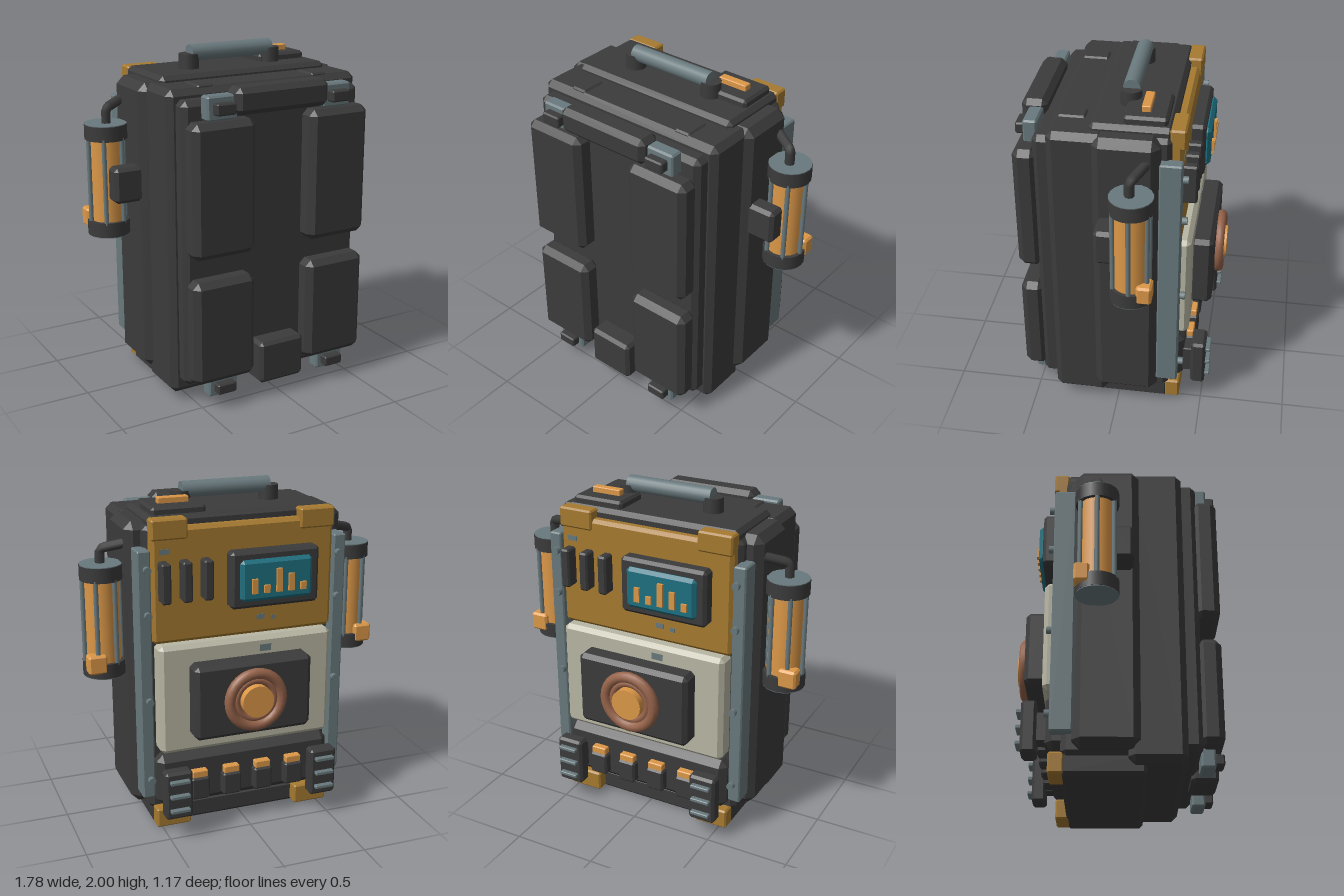
import * as THREE from 'three';
import { ConvexGeometry } from 'three/addons/geometries/ConvexGeometry.js';

const mat = (name, color) => {
  const m = new THREE.MeshStandardMaterial({ color });
  m.name = name;
  return m;
};

export function createModel() {
  const dark = mat('charcoal', 0x3b3b3c);
  const steel = mat('steel', 0x69797d);
  const mustard = mat('mustard', 0xa67a30);
  const amber = mat('amber', 0xdc9848);
  const teal = mat('teal', 0x1f7080);
  const bone = mat('bone', 0xb9b7a4);
  const copper = mat('copper', 0x96634a);

  const root = new THREE.Group();
  root.name = 'equipmentPack';
  const pack = new THREE.Group();
  pack.name = 'pack';
  pack.position.x = -0.008;
  root.add(pack);

  const add = (name, geo, material, parent = pack) => {
    const m = new THREE.Mesh(geo, material);
    m.name = name;
    parent.add(m);
    return m;
  };

  // Box given by its limits, with every edge chamfered by c
  const block = (name, material, [x0, x1], [y0, y1], [z0, z1], c = 0.012, parent = pack) => {
    const h = [(x1 - x0) / 2, (y1 - y0) / 2, (z1 - z0) / 2];
    const pts = [];
    for (const sx of [-1, 1]) for (const sy of [-1, 1]) for (const sz of [-1, 1])
      for (let k = 0; k < 3; k++) {
        const p = h.map((v, i) => (i === k ? v : v - c));
        pts.push(new THREE.Vector3(p[0] * sx, p[1] * sy, p[2] * sz));
      }
    const geo = c > 0 ? new ConvexGeometry(pts) : new THREE.BoxGeometry(2 * h[0], 2 * h[1], 2 * h[2]);
    const m = add(name, geo, material, parent);
    m.position.set((x0 + x1) / 2, (y0 + y1) / 2, (z0 + z1) / 2);
    return m;
  };
  const both = (fn) => [-1, 1].forEach(fn);
  const span = (s, a, b) => (s > 0 ? [a, b] : [-b, -a]);
  const around = (c, w) => [c - w / 2, c + w / 2];

  // Body shells
  block('core', dark, [-0.57, 0.57], [0.1, 1.82], [-0.3, 0.2], 0.03);
  block('sideShell', dark, [-0.655, 0.655], [0.125, 1.83], [-0.24, 0.13], 0.045);
  block('frontShell', dark, [-0.615, 0.615], [0.055, 1.83], [0.06, 0.375], 0.035);
  block('frontPlate', dark, [-0.57, 0.57], [0.13, 1.78], [0.34, 0.46], 0.03);
  block('topCap', dark, [-0.545, 0.545], [1.76, 1.865], [-0.3, 0.155], 0.025);
  block('base', dark, [-0.545, 0.545], [0, 0.13], [-0.3, 0.16], 0.02);

  // Padding, clips and strap ends on the front
  both((s) => {
    block('upperPad', dark, span(s, 0.175, 0.565), [0.915, 1.675], [0.44, 0.578], 0.035);
    block('lowerPad', dark, span(s, 0.175, 0.565), [0.17, 0.785], [0.44, 0.575], 0.035);
    block('strapEnd', dark, span(s, 0.32, 0.42), [1.79, 1.84], [0.19, 0.345], 0.01);
    for (const [y, h, bh] of [[1.743, 0.135, 0.065], [0.125, 0.11, 0.062]]) {
      block('clip', steel, span(s, 0.275, 0.46), around(y, h), [0.45, 0.53], 0.01);
      block('clipButton', dark, span(s, 0.308, 0.428), around(y, bh), [0.5, 0.58], 0.008);
    }
  });
  block('topPad', dark, [-0.3, 0.293], [1.695, 1.845], [0.43, 0.575], 0.03);
  block('bottomPad', dark, [-0.145, 0.148], [0.09, 0.345], [0.42, 0.575], 0.02);

  // Carry handle
  const bar = add('handleBar', new THREE.CylinderGeometry(0.048, 0.048, 0.535, 16), steel);
  bar.rotation.z = Math.PI / 2;
  bar.position.set(0, 1.952, -0.037);
  both((s) => add('handlePost', new THREE.CylinderGeometry(0.058, 0.06, 0.1, 16), dark)
    .position.set(s * 0.27, 1.9, -0.037));

  // Top switch box
  block('switchBox', dark, [0.195, 0.51], [1.85, 1.907], [-0.265, -0.025], 0.015);
  block('switchStrip', amber, [0.263, 0.443], [1.9, 1.94], [-0.167, -0.117], 0.004);

  // Side canisters
  const cz = -0.11;
  both((s) => {
    const can = new THREE.Group();
    can.name = s > 0 ? 'leftCanister' : 'rightCanister';
    pack.add(can);
    const cx = s * 0.768;
    add('tank', new THREE.CylinderGeometry(0.1, 0.1, 0.5, 20), amber, can).position.set(cx, 1.26, cz);
    for (const y of [1.54, 0.98])
      add('tankCap', new THREE.CylinderGeometry(0.122, 0.122, 0.085, 20), dark, can).position.set(cx, y, cz);
    // Steel discs on the cap ends
    for (const y of [1.583, 0.937])
      add('capDisc', new THREE.CylinderGeometry(0.12, 0.12, 0.008, 20), steel, can).position.set(cx, y, cz);
    for (let i = 0; i < 6; i++) {
      const a = (i * Math.PI) / 3;
      add('tankRod', new THREE.CylinderGeometry(0.014, 0.014, 0.5, 8), steel, can)
        .position.set(cx + Math.cos(a) * 0.108, 1.26, cz + Math.sin(a) * 0.108);
    }
    block('tankMount', dark, span(s, 0.62, 0.805), [1.155, 1.36], [-0.02, 0.092], 0.02, can);
    block('tankValve', amber, span(s, 0.775, 0.885), [0.97, 1.08], [-0.235, -0.15], 0.012, can);
    const path = new THREE.CurvePath();
    const p = [[0.768, 1.57, -0.1], [0.768, 1.66, -0.1], [0.745, 1.675, -0.115], [0.6, 1.715, -0.19]]
      .map(([x, y, z]) => new THREE.Vector3(s * x, y, z));
    for (let i = 0; i < 3; i++) path.add(new THREE.LineCurve3(p[i], p[i + 1]));
    add('tankPipe', new THREE.TubeGeometry(path, 14, 0.028, 8), dark, can);
  });

  // Back rails with screws, and corner guards
  both((s) => {
    block('backRail', steel, span(s, 0.55, 0.625), [0.215, 1.695], [-0.36, -0.235], 0.008);
    for (const y of [1.59, 1.33, 0.82, 0.33]) {
      const screw = add('railScrew', new THREE.CylinderGeometry(0.022, 0.022, 0.035, 8), steel);
      screw.rotation.x = Math.PI / 2;
      screw.position.set(s * 0.575, y, -0.372);
    }
    for (const y of [[1.745, 1.862], [0.01, 0.13]])
      block('cornerGuard', mustard, span(s, 0.335, 0.545), y, [-0.368, -0.28], 0.01);
  });

  // Upper back panel with display and vents
  block('upperPanel', mustard, [-0.545, 0.545], [1.15, 1.81], [-0.355, -0.25], 0.02);
  block('displayFrame', dark, [-0.425, 0.108], [1.33, 1.66], [-0.435, -0.34], 0.018);
  block('displayScreen', teal, [-0.375, 0.06], [1.375, 1.615], [-0.463, -0.42], 0.02);
  [0.045, 0.1, 0.135, 0.045, 0.085].forEach((h, i) =>
    block('displayBar', amber, around(-0.312 + i * 0.0735, 0.034), [1.425, 1.425 + h], [-0.478, -0.455], 0));
  for (let i = 0; i < 3; i++)
    block('vent', dark, around(0.235 + i * 0.123, 0.055), [1.4, 1.63], [-0.432, -0.34], 0.01);

  // Middle panel with round speaker
  block('middlePanel', bone, [-0.525, 0.525], [0.495, 1.15], [-0.41, -0.28], 0.025);
  block('speakerBox', dark, [-0.355, 0.353], [0.6, 1.045], [-0.525, -0.39], 0.025);
  for (const [r, t, z] of [[0.158, 0.032, -0.543], [0.115, 0.022, -0.535]])
    add('speakerRing', new THREE.TorusGeometry(r, t, 10, 28), copper).position.set(0, 0.822, z);
  const cone = add('speakerCentre', new THREE.CylinderGeometry(0.094, 0.094, 0.08, 20), amber);
  cone.rotation.x = Math.PI / 2;
  cone.position.set(0, 0.822, -0.546);

  // Worn paint chips
  for (const [x, y, w, h, z] of [[0.47, 1.68, 0.06, 0.03, -0.355], [-0.1, 1.25, 0.05, 0.03, -0.355],
    [-0.18, 1.24, 0.03, 0.025, -0.355], [-0.11, 1.08, 0.07, 0.04, -0.41]])
    block('paintChip', steel, around(x, w), around(y, h), [z - 0.003, z + 0.003], 0);

  // Lower back belt with latches and ribbed grips
  block('lowerBelt', dark, [-0.54, 0.54], [0.15, 0.47], [-0.388, -0.235], 0.04);
  for (let i = 0; i < 4; i++) {
    const x = -0.295 + i * 0.197;
    block('latch', dark, around(x, 0.115), [0.19, 0.33], [-0.44, -0.37], 0.012);
    block('latchTab', amber, around(x, 0.095), [0.325, 0.37], [-0.43, -0.37], 0.005);
  }
  both((s) => {
    block('gripMount', dark, span(s, 0.4, 0.505), [0.2, 0.365], [-0.45, -0.37], 0.005);
    block('grip', dark, span(s, 0.37, 0.535), [0.13, 0.425], [-0.517, -0.432], 0.015);
    for (const y of [0.19, 0.28, 0.37])
      block('gripRib', steel, span(s, 0.395, 0.512), around(y, 0.022), [-0.545, -0.505], 0.004);
  });

  return root;
}
